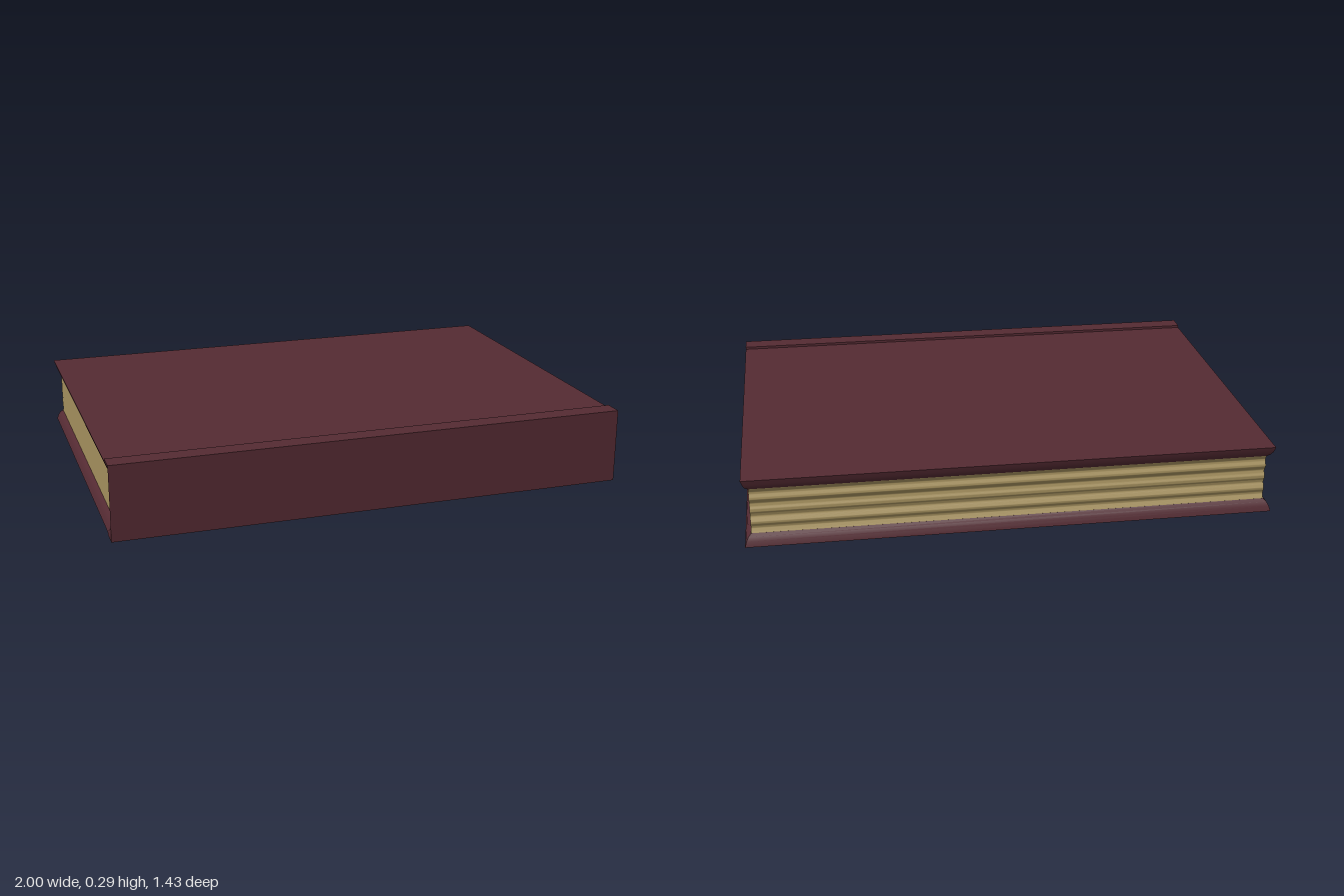
import * as THREE from 'three';
import { toCreasedNormals } from 'three/addons/utils/BufferGeometryUtils.js';

const INSET = 0.02;                        // how far the inner edges step in
const coverMat = new THREE.MeshStandardMaterial({ color: 0x552b33 });
const pageMat = new THREE.MeshStandardMaterial({ color: 0xa89360 });

// Slab made of stacked levels [y, inset]; the rule pulls each level's edges inward.
function slab(name, levels, zBack, zFront, insetRule) {
  const geo = new THREE.BoxGeometry(2, 1, 1, 1, levels.length - 1, 1);
  const p = geo.attributes.position;
  for (let i = 0; i < p.count; i++) {
    const [y, inset] = levels[Math.round((p.getY(i) + 0.5) * (levels.length - 1))];
    const front = p.getZ(i) > 0;
    const [dx, dz] = insetRule(inset, front);
    p.setXYZ(i, Math.sign(p.getX(i)) * (1 - dx), y, front ? zFront : zBack + dz);
  }
  const mesh = new THREE.Mesh(toCreasedNormals(geo, 0.6), coverMat);
  mesh.name = name;
  return mesh;
}

export function createModel() {
  const book = new THREE.Group();
  book.name = 'book';

  // Covers: bevelled inward at the head, tail and fore edge
  const bevel = (inset, front) => [inset, front ? 0 : inset];
  const lower = [[0.01, 0], [0.03, 0.006], [0.045, 0.014], [0.055, INSET + 0.005]];
  const upper = lower.map(([y, d]) => [0.29 - y, d]).reverse();
  book.add(slab('bottomCover', lower, -0.715, 0.65, bevel));
  book.add(slab('topCover', upper, -0.715, 0.65, bevel));

  // Spine: ends slope inward toward the pages
  const spineLevels = [[0, 0], [0.01, 0], [0.055, INSET], [0.235, INSET], [0.28, 0], [0.29, 0]];
  book.add(slab('spine', spineLevels, 0.64, 0.715, (inset, front) => [front ? 0 : inset, 0]));

  // Page block with a gently rippled fore edge
  const shape = new THREE.Shape();
  const y0 = 0.05, y1 = 0.24, steps = 48;
  shape.moveTo(-0.645, y0);
  for (let i = 0; i <= steps; i++) {
    const t = i / steps;
    const ripple = 0.005 * Math.cos(t * Math.PI * 8) + 0.002 * Math.cos(t * Math.PI * 2);
    shape.lineTo(0.684 + ripple, y0 + (y1 - y0) * t);
  }
  shape.lineTo(-0.645, y1);
  const half = 1 - INSET - 0.005;
  const geo = new THREE.ExtrudeGeometry(shape, { depth: half * 2, bevelEnabled: false });
  geo.translate(0, 0, -half).rotateY(Math.PI / 2);
  const pages = new THREE.Mesh(toCreasedNormals(geo, 0.7), pageMat);
  pages.name = 'pages';
  book.add(pages);

  return book;
}
